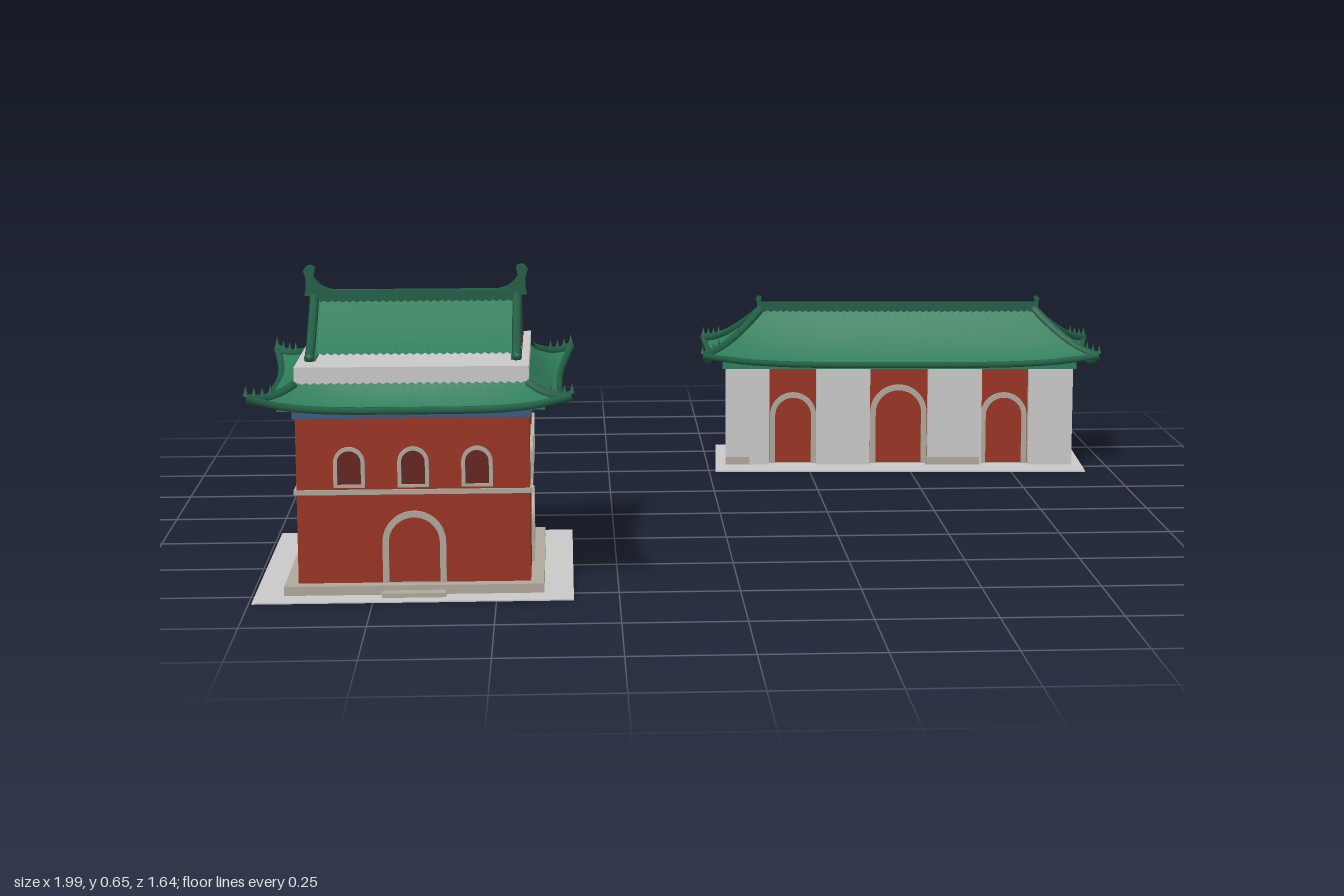
import * as THREE from 'three';

const mat = (name, color, side = THREE.FrontSide) => {
  const m = new THREE.MeshStandardMaterial({ color, side });
  m.name = name;
  return m;
};

export function createModel() {
  const M = {
    tile: mat('roofTileGreen', 0x2f7d5a, THREE.DoubleSide),
    ridge: mat('ridgeGreen', 0x215f45),
    red: mat('wallRed', 0x9a3322),
    dark: mat('windowDarkRed', 0x66231f),
    white: mat('plasterGrey', 0xcacaca),
    trim: mat('stoneTrim', 0xb0a89c),
    blue: mat('paintedBlue', 0x40587e),
  };

  const add = (parent, name, geo, m, x = 0, y = 0, z = 0) => {
    const mesh = new THREE.Mesh(geo, m);
    mesh.name = name;
    mesh.position.set(x, y, z);
    parent.add(mesh);
    return mesh;
  };
  // box given by its full width and depth and its bottom and top heights
  const box = (parent, name, m, w, y0, y1, d, x = 0, z = 0) =>
    add(parent, name, new THREE.BoxGeometry(w, y1 - y0, d), m, x, (y0 + y1) / 2, z);
  const tube = (parent, name, pts, r, m) =>
    add(parent, name, new THREE.TubeGeometry(new THREE.CatmullRomCurve3(pts), 20, r, 6), m);

  // ribbed surface from a rule fn(u, v)
  const sheet = (fn, nu, nv) => {
    const pos = [], idx = [];
    for (let j = 0; j <= nv; j++)
      for (let i = 0; i <= nu; i++) {
        const p = fn(i / nu, j / nv);
        pos.push(p.x, p.y + (i % 2) * 0.004, p.z);
      }
    for (let j = 0; j < nv; j++)
      for (let i = 0; i < nu; i++) {
        const a = j * (nu + 1) + i, b = a + nu + 1;
        idx.push(a, a + 1, b, a + 1, b + 1, b);
      }
    const g = new THREE.BufferGeometry();
    g.setAttribute('position', new THREE.Float32BufferAttribute(pos, 3));
    g.setIndex(idx);
    g.computeVertexNormals();
    return g;
  };

  // four-sided curved roof with upturned corners
  const hipRoof = (parent, o) => {
    const corners = [[-1, 1], [1, 1], [1, -1], [-1, -1]];
    for (let k = 0; k < 4; k++) {
      const P = corners[k], Q = corners[(k + 1) % 4];
      const nx = (P[0] + Q[0]) / 2, nz = (P[1] + Q[1]) / 2;
      const point = (u, v) => {
        const t = Math.abs(2 * u - 1);
        const sx = P[0] + (Q[0] - P[0]) * u, sz = P[1] + (Q[1] - P[1]) * u;
        const inset = o.inset * (1 - t ** 3);
        const ex = sx * o.ex - nx * inset, ez = sz * o.ez - nz * inset;
        return new THREE.Vector3(
          ex + (sx * o.ix - ex) * v,
          o.y0 + o.lift * t ** 4 * (1 - v) ** 2 + (o.y1 - o.y0) * v ** 1.3,
          ez + (sz * o.iz - ez) * v);
      };
      const len = nx ? o.ez : o.ex;
      add(parent, 'roofSlope', sheet(point, Math.round(len * 90) * 2, 8), M.tile);
      const row = (f) => Array.from({ length: 11 }, (_, i) => f(i / 10));
      tube(parent, 'eaveEdge', row((s) => point(s, 0)), 0.008, M.ridge);
      tube(parent, 'hipRidge', row((s) => point(0, s)), 0.011, M.ridge);
      // beasts standing on the hip
      for (let i = 0; i < 4; i++) {
        const p = point(0, o.beast * i);
        add(parent, 'hipBeast', new THREE.ConeGeometry(0.006, 0.022, 6), M.ridge, p.x, p.y + 0.016, p.z);
      }
    }
  };

  // hooked fish-tail ornament at both ends of a ridge
  const ridgeOrnaments = (parent, x, y, s) => {
    for (const side of [-1, 1]) {
      const sh = new THREE.Shape();
      sh.moveTo(-0.035, 0);
      sh.lineTo(0.02, 0);
      sh.quadraticCurveTo(0.012, 0.03, 0.022, 0.05);
      sh.quadraticCurveTo(0.012, 0.068, -0.002, 0.055);
      sh.lineTo(0.002, 0.038);
      sh.quadraticCurveTo(-0.012, 0.014, -0.035, 0.012);
      const g = new THREE.ExtrudeGeometry(sh, { depth: 0.018, bevelEnabled: false, curveSegments: 5 });
      g.translate(0, 0, -0.009);
      g.scale(s, s, s);
      const m = add(parent, 'ridgeOrnament', g, M.ridge, side * x, y, 0);
      if (side < 0) m.rotation.y = Math.PI;
    }
  };

  // round-headed opening, traced up, over and down
  const archPath = (p, w, h, y = 0) => {
    p.moveTo(w, y);
    p.lineTo(w, h - w);
    p.absarc(0, h - w, w, 0, Math.PI, false);
    p.lineTo(-w, y);
    p.lineTo(w, y);
    return p;
  };
  const archFrame = (parent, name, w, h, t, sill, x, y, z) => {
    const sh = archPath(new THREE.Shape(), w, h);
    sh.holes.push(archPath(new THREE.Path(), w - t, h - t, sill));
    const g = new THREE.ExtrudeGeometry(sh, { depth: 0.008, bevelEnabled: false, curveSegments: 12 });
    return add(parent, name, g, M.trim, x, y, z);
  };

  const model = new THREE.Group();
  model.name = 'courtyardBuildings';

  // ---- square pavilion ----
  const pav = new THREE.Group();
  pav.name = 'pavilion';
  pav.position.set(-0.668, 0, 0.49);
  model.add(pav);
  box(pav, 'groundSlab', M.white, 0.65, 0, 0.003, 0.645);
  box(pav, 'plinth', M.trim, 0.53, 0.003, 0.022, 0.53);
  for (const s of [-1, 1]) box(pav, 'step', M.trim, 0.13, 0.003, 0.012, 0.03, 0, s * 0.278);
  box(pav, 'walls', M.red, 0.475, 0.022, 0.37, 0.475);
  box(pav, 'stringCourse', M.trim, 0.486, 0.207, 0.217, 0.486);
  box(pav, 'paintedBand', M.blue, 0.486, 0.365, 0.387, 0.486);
  box(pav, 'eaveBeam', M.tile, 0.54, 0.385, 0.396, 0.54);
  box(pav, 'parapet', M.white, 0.475, 0.4, 0.47, 0.475);

  // door and three windows on each face
  for (let k = 0; k < 4; k++) {
    const face = new THREE.Group();
    face.name = 'wallFace';
    face.rotation.y = (k * Math.PI) / 2;
    pav.add(face);
    archFrame(face, 'doorFrame', 0.065, 0.15, 0.013, 0.001, 0, 0.022, 0.236);
    for (const x of [-0.13, 0, 0.13]) {
      archFrame(face, 'windowFrame', 0.032, 0.084, 0.008, 0.006, x, 0.222, 0.236);
      const pane = new THREE.ShapeGeometry(archPath(new THREE.Shape(), 0.026, 0.078, 0.004));
      add(face, 'windowPane', pane, M.dark, x, 0.222, 0.2395);
    }
  }
  hipRoof(pav, { ex: 0.325, ez: 0.322, ix: 0.237, iz: 0.237, y0: 0.39, y1: 0.435, lift: 0.032, inset: 0.027, beast: 0.17 });

  // gabled top roof
  const top = new THREE.Group();
  top.name = 'topRoof';
  pav.add(top);
  const topY = (z) => 0.467 + 0.113 * (1 - Math.abs(z) / 0.165) ** 1.25;
  for (const s of [-1, 1]) {
    add(top, 'topRoofSlope', sheet((u, v) => {
      const z = s * 0.138 * (1 - v);
      return new THREE.Vector3(s * (u - 0.5) * 0.43, topY(z), z);
    }, 56, 8), M.tile);
    // end gable with its red infill and verge ridges
    const sh = new THREE.Shape();
    sh.moveTo(-0.16, 0.465);
    for (let i = 0; i <= 16; i++) {
      const z = -0.16 + 0.02 * i;
      sh.lineTo(z, topY(z) + 0.004);
    }
    sh.lineTo(0.16, 0.465);
    const g = new THREE.ExtrudeGeometry(sh, { depth: 0.02, bevelEnabled: false });
    add(top, 'gable', g, M.tile, s * 0.2, 0, 0).rotation.y = (s * Math.PI) / 2;
    const tri = new THREE.Shape([[-0.098, 0.47], [0.098, 0.47], [0.045, 0.508], [0, 0.556], [-0.045, 0.508]]
      .map((p) => new THREE.Vector2(...p)));
    add(top, 'gableInfill', new THREE.ShapeGeometry(tri), M.red, s * 0.2215, 0, 0).rotation.y = (s * Math.PI) / 2;
    for (const e of [-1, 1]) {
      const pts = [0.165, 0.12, 0.08, 0.04, 0].map((z) => new THREE.Vector3(s * 0.212, topY(z) + 0.006, e * z));
      tube(top, 'vergeRidge', pts, 0.01, M.ridge);
      add(top, 'vergeKnob', new THREE.SphereGeometry(0.011, 8, 6), M.ridge, s * 0.212, 0.477, e * 0.16);
    }
  }
  box(top, 'ridge', M.ridge, 0.42, 0.57, 0.596, 0.022);
  ridgeOrnaments(top, 0.212, 0.585, 1.05);

  // ---- long gate hall ----
  const hall = new THREE.Group();
  hall.name = 'gateHall';
  hall.position.set(0.485, 0, -0.636);
  hall.rotation.y = -0.0555;
  model.add(hall);
  box(hall, 'groundSlab', M.white, 0.92, 0, 0.003, 0.345, 0, 0.009);
  box(hall, 'redCore', M.red, 0.82, 0.003, 0.25, 0.15);
  for (const s of [-1, 1]) {
    box(hall, 'endPier', M.white, 0.11, 0.003, 0.255, 0.2, s * 0.38);
    box(hall, 'innerPier', M.white, 0.135, 0.003, 0.255, 0.2, s * 0.14);
  }
  box(hall, 'eaveBeam', M.tile, 0.885, 0.248, 0.264, 0.215);
  for (const [x, w] of [[-0.405, 0.06], [0.135, 0.135]])
    box(hall, 'pierBase', M.trim, w, 0.003, 0.022, 0.008, x, 0.1);

  // three arches on each long side
  for (const r of [0, Math.PI]) {
    const side = new THREE.Group();
    side.name = 'archSide';
    side.rotation.y = r;
    hall.add(side);
    archFrame(side, 'middleArch', 0.071, 0.2, 0.014, 0.001, 0, 0.003, 0.0745);
    for (const s of [-1, 1])
      archFrame(side, 'sideArch', 0.058, 0.18, 0.013, 0.001, s * 0.265, 0.003, 0.0745);
  }
  hipRoof(hall, { ex: 0.492, ez: 0.152, ix: 0.345, iz: 0.003, y0: 0.262, y1: 0.385, lift: 0.026, inset: 0.016, beast: 0.09 });
  box(hall, 'ridge', M.ridge, 0.7, 0.375, 0.401, 0.02);
  ridgeOrnaments(hall, 0.345, 0.38, 0.62);

  return model;
}
